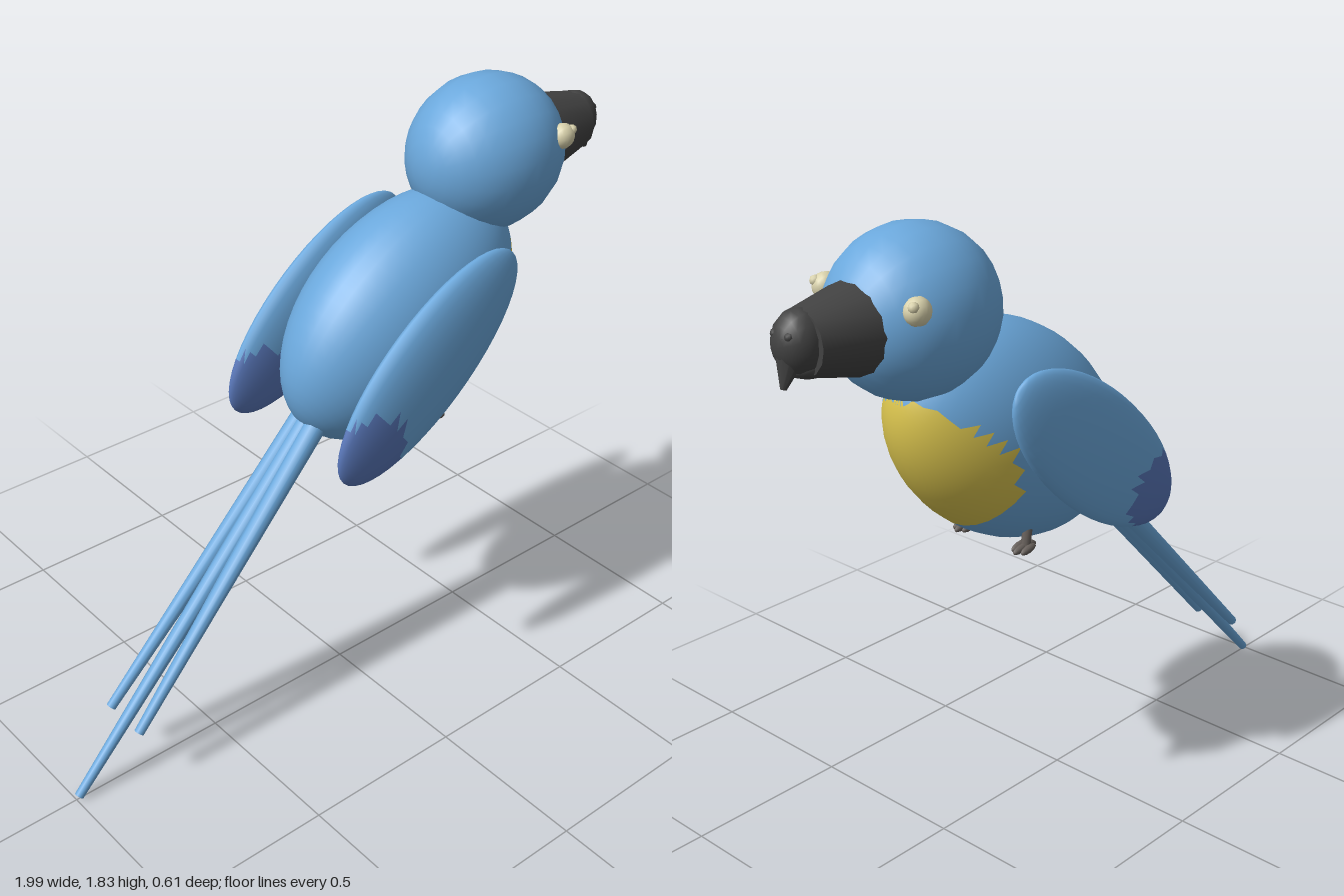
import * as THREE from 'three';

const mat = (name, color) => new THREE.MeshStandardMaterial({ name, color });

export function createModel() {
  const blue = mat('sky blue plumage', 0x6ba8dc);
  const violet = mat('violet blue wing tip', 0x5876b8);
  const yellow = mat('yellow breast', 0xdac44e);
  const dark = mat('charcoal beak', 0x424242);
  const cream = mat('cream eye', 0xd9d2ac);
  const grey = mat('brown grey foot', 0x665f5a);

  const bird = new THREE.Group();
  bird.name = 'parrot';
  const add = (name, geometry, material, parent = bird) => {
    const mesh = new THREE.Mesh(geometry, material);
    mesh.name = name;
    parent.add(mesh);
    return mesh;
  };

  // Ellipsoid whose long (local y) axis is tilted in the xy plane
  const ellipsoid = (rx, ry, rz, degrees, x, y, z, ws = 16, hs = 12) =>
    new THREE.SphereGeometry(1, ws, hs)
      .scale(rx, ry, rz)
      .rotateZ(THREE.MathUtils.degToRad(degrees - 90))
      .translate(x, y, z);

  // Tapered round rod between two points
  const rod = (a, b, ra, rb, sides = 10) => {
    const from = new THREE.Vector3(...a), to = new THREE.Vector3(...b);
    const dir = to.clone().sub(from);
    const turn = new THREE.Quaternion().setFromUnitVectors(
      new THREE.Vector3(0, 1, 0), dir.clone().normalize());
    const mid = from.add(to).multiplyScalar(0.5);
    return new THREE.CylinderGeometry(rb, ra, dir.length(), sides)
      .applyQuaternion(turn).translate(mid.x, mid.y, mid.z);
  };

  // Give the faces whose centre passes the test the second material
  const paint = (geometry, test) => {
    const lists = [[], []];
    const index = geometry.index.array, p = geometry.attributes.position;
    const c = new THREE.Vector3(), v = new THREE.Vector3();
    for (let i = 0; i < index.length; i += 3) {
      c.set(0, 0, 0);
      for (let k = 0; k < 3; k++) c.add(v.fromBufferAttribute(p, index[i + k]));
      c.divideScalar(3);
      lists[test(c) ? 1 : 0].push(index[i], index[i + 1], index[i + 2]);
    }
    geometry.setIndex([...lists[0], ...lists[1]]);
    geometry.addGroup(0, lists[0].length, 0);
    geometry.addGroup(lists[0].length, lists[1].length, 1);
    return geometry;
  };

  // Body with a yellow breast patch
  const body = ellipsoid(0.302, 0.437, 0.232, 33, 0.22, 1.188, 0, 36, 26);
  add('body', paint(body, (c) => c.x > 0.36 &&
    ((c.y - 1.175) / 0.2) ** 2 + (c.z / 0.21) ** 2 < 1), [blue, yellow]);

  // Head
  add('head', ellipsoid(0.232, 0.25, 0.214, 0, 0.55, 1.6, 0, 22, 16), blue);

  // Beak: flared base, rounded end and downward hook
  const beak = new THREE.Group();
  beak.name = 'beak';
  bird.add(beak);
  add('beakBase', rod([0.74, 1.6, 0], [0.92, 1.603, 0], 0.127, 0.086, 14), dark, beak);
  add('beakEnd', ellipsoid(0.085, 0.072, 0.07, 0, 0.92, 1.607, 0, 14, 10), dark, beak);
  add('beakHook', rod([0.94, 1.615, 0], [0.98, 1.5, 0], 0.052, 0.008), dark, beak);
  add('lowerBeak', ellipsoid(0.035, 0.06, 0.055, 0, 0.9, 1.545, 0, 12, 8), dark, beak);

  for (const [label, s] of [['right', 1], ['left', -1]]) {
    // Wing with a violet tip
    const wing = ellipsoid(0.172, 0.405, 0.053, 39.4, 0.115, 1.152, s * 0.25, 24, 24);
    add(label + 'Wing', paint(wing, (c) =>
      Math.hypot(c.x + 0.115, c.y - 0.965) < 0.12), [blue, violet]);

    // Eye with a small bump, and a nostril
    const eye = new THREE.Group();
    eye.name = label + 'Eye';
    bird.add(eye);
    add('eyeball', ellipsoid(0.038, 0.038, 0.034, 0, 0.69, 1.663, s * 0.168, 12, 10), cream, eye);
    add('eyeBump', ellipsoid(0.015, 0.015, 0.015, 0, 0.714, 1.68, s * 0.18, 8, 6), cream, eye);
    add(label + 'Nostril', ellipsoid(0.013, 0.013, 0.013, 0, 0.972, 1.635, s * 0.026, 8, 6), dark, beak);

    // Foot: short shank and three toes
    const foot = new THREE.Group();
    foot.name = label + 'Foot';
    bird.add(foot);
    const z = s * 0.115;
    add('shank', rod([0.25, 0.93, z], [0.26, 0.875, z], 0.014, 0.014, 8), grey, foot);
    for (const t of [-1, 0, 1]) {
      add('toe', ellipsoid(0.012, 0.03, 0.011, -12,
        0.28 - 0.012 * Math.abs(t), 0.872, z + t * 0.018, 8, 6), grey, foot);
    }
    add('backToe', ellipsoid(0.011, 0.022, 0.01, 15, 0.24, 0.875, z, 8, 6), grey, foot);

    // Side tail feather
    add(label + 'TailFeather',
      rod([-0.05, 1.02, s * 0.026], [-0.815, 0.205, s * 0.072], 0.036, 0.015), blue);
  }

  // Middle tail feather
  add('middleTailFeather', rod([-0.05, 1.02, 0], [-0.99, 0.012, 0], 0.036, 0.014), blue);

  return bird;
}
